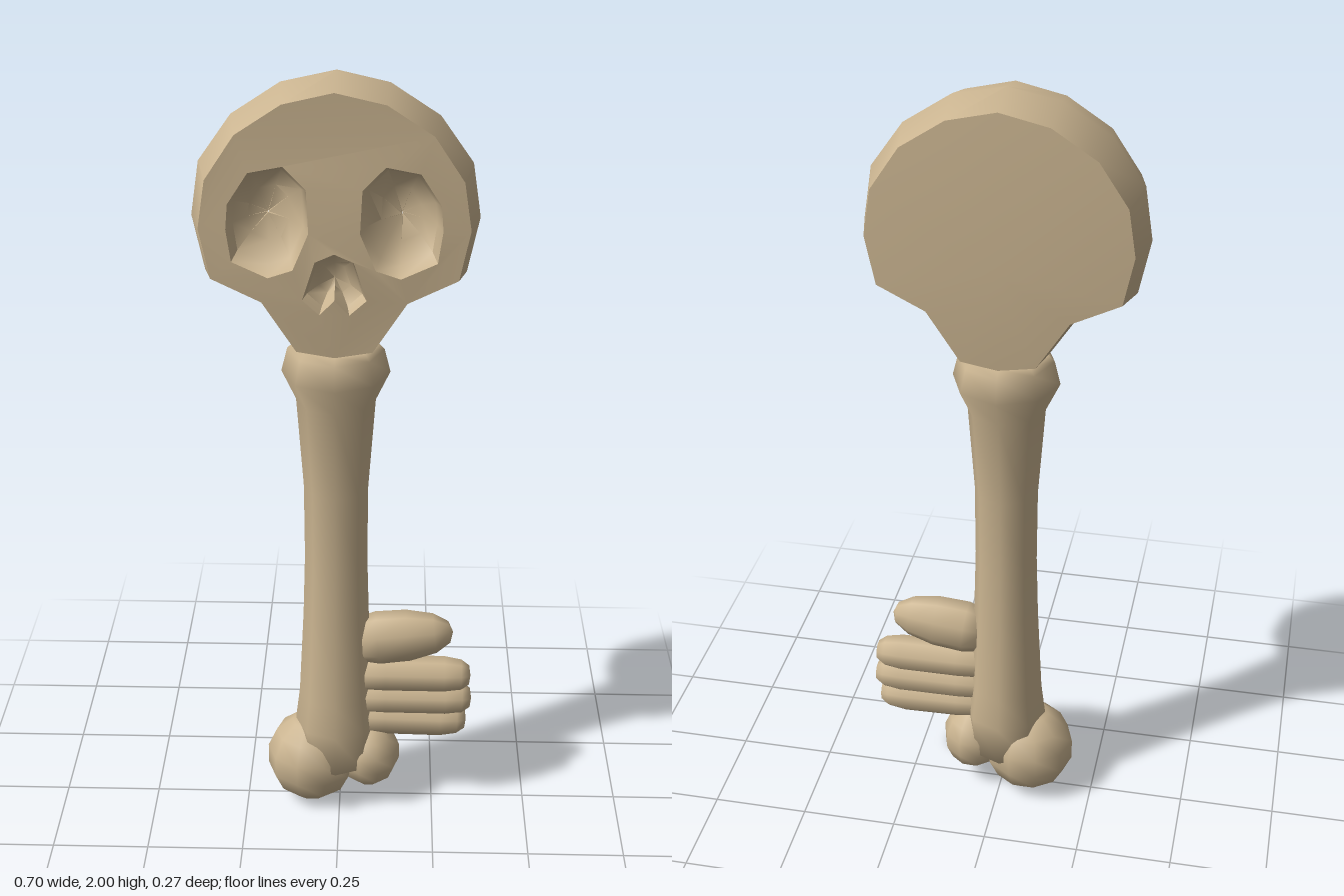
import * as THREE from 'three';
import { toCreasedNormals } from 'three/addons/utils/BufferGeometryUtils.js';

const bone = new THREE.MeshStandardMaterial({ color: 0xcbb591 });
bone.name = 'bone tan';

function part(name, geometry, parent) {
  const mesh = new THREE.Mesh(geometry, bone);
  mesh.name = name;
  parent.add(mesh);
  return mesh;
}

// Skin between closed loops of [x, y, z] points
function loft(loops, crease) {
  const n = loops[0].length, index = [];
  for (let i = 0; i < loops.length - 1; i++) {
    for (let j = 0; j < n; j++) {
      const k = (j + 1) % n, a = i * n + j, b = i * n + k;
      index.push(a, b, b + n, a, b + n, a + n);
    }
  }
  const g = new THREE.BufferGeometry();
  g.setAttribute('position', new THREE.Float32BufferAttribute(loops.flat(2), 3));
  g.setIndex(index);
  return toCreasedNormals(g, crease);
}

// Right half of an outline (bottom to top, both ends on the axis) to a full counter-clockwise loop
const mirrorLoop = half => [...half, ...half.slice(1, -1).reverse().map(([x, y]) => [-x, y])];
const vectors = pts => pts.map(([x, y]) => new THREE.Vector2(x, y));

// Slight bulge of the flat skull faces
const faceZ = (x, y) => 0.104 + 0.022 * Math.max(0, 1 - Math.hypot(x, y - 1.6) / 0.32);

function makeSkull() {
  const skull = new THREE.Group();
  skull.name = 'skull';
  skull.position.x = -0.01;

  const outer = mirrorLoop([[0, 1.335], [0.105, 1.345], [0.185, 1.468], [0.31, 1.525],
    [0.338, 1.66], [0.318, 1.79], [0.24, 1.9], [0.125, 1.975], [0, 2]]);
  const inner = mirrorLoop([[0, 1.345], [0.09, 1.36], [0.17, 1.485], [0.288, 1.54],
    [0.313, 1.66], [0.295, 1.775], [0.225, 1.88], [0.118, 1.95], [0, 1.977]]);
  const eye = [[0.244, 1.72], [0.196, 1.794], [0.117, 1.81], [0.064, 1.757], [0.059, 1.656],
    [0.096, 1.567], [0.154, 1.546], [0.238, 1.583], [0.249, 1.66]];
  const otherEye = eye.map(([x, y]) => [-x, y]).reverse();
  const nose = mirrorLoop([[0, 1.493], [0.035, 1.456], [0.075, 1.493], [0.045, 1.588], [0, 1.609]]);

  // Rim
  const at = (pts, side) => pts.map(([x, y]) => [x, y, side * faceZ(x, y)]);
  const middle = outer.map(([x, y]) => [x, y, 0]);
  part('skullRim', loft([at(inner, -1), middle, at(inner, 1)], 0.62), skull);

  // Back
  const tip = inner.map(() => [0, 1.6, -0.126]);
  part('skullBack', loft([tip, at(inner, -1)], 0.6), skull);

  // Face with openings
  const shape = new THREE.Shape(vectors(inner));
  for (const hole of [eye, otherEye, nose]) shape.holes.push(new THREE.Path(vectors(hole)));
  const face = new THREE.ShapeGeometry(shape);
  const p = face.attributes.position;
  for (let i = 0; i < p.count; i++) p.setZ(i, faceZ(p.getX(i), p.getY(i)));
  face.computeVertexNormals();
  part('skullFace', face, skull);

  // Hollow sockets: shrinking loops going inward
  const socket = (name, pts, cx, cy, depth) => {
    const loops = [[1, 0], [0.86, 0.55], [0.5, 0.92], [0.01, 1]].map(([s, d]) =>
      pts.map(([x, y]) => [cx + (x - cx) * s, cy + (y - cy) * s, faceZ(x, y) - d * depth]));
    part(name, loft(loops, 0.95), skull);
  };
  socket('leftEyeSocket', eye, 0.155, 1.68, 0.08);
  socket('rightEyeSocket', otherEye, -0.155, 1.68, 0.08);
  socket('noseSocket', nose, 0, 1.53, 0.06);
  return skull;
}

// Finger-like tooth lying along +x, from a profile of [radius, x]
function finger(name, profile, y, depth, tilt, parent) {
  const g = new THREE.LatheGeometry(vectors(profile), 8, Math.PI / 8);
  g.rotateZ(-Math.PI / 2);
  g.scale(1, 1, depth);
  const mesh = part(name, g, parent);
  mesh.position.y = y;
  mesh.rotation.z = tilt;
}

function knob(name, x, y, rx, ry, rz, parent) {
  const mesh = part(name, new THREE.SphereGeometry(1, 10, 7), parent);
  mesh.position.set(x, y, 0);
  mesh.scale.set(rx, ry, rz);
}

export function createModel() {
  const key = new THREE.Group();
  key.name = 'boneKey';
  key.add(makeSkull());

  // Shaft with collar under the skull
  const shaft = part('shaft', new THREE.LatheGeometry(vectors([
    [0, 0.1], [0.1, 0.13], [0.108, 0.25], [0.097, 0.34], [0.085, 0.58], [0.08, 0.75], [0.081, 0.95],
    [0.098, 1.19], [0.133, 1.265], [0.118, 1.325], [0.1, 1.342], [0, 1.345]]), 8), key);
  shaft.position.x = -0.01;

  // Knuckle at the foot
  knob('rightKnuckle', -0.075, 0.128, 0.122, 0.128, 0.115, key);
  knob('leftKnuckle', 0.078, 0.143, 0.084, 0.098, 0.088, key);

  // Teeth of the key
  const teeth = new THREE.Group();
  teeth.name = 'keyTeeth';
  key.add(teeth);
  finger('upperTooth', [[0, 0.03], [0.06, 0.045], [0.073, 0.1], [0.071, 0.18],
    [0.055, 0.25], [0.03, 0.288], [0, 0.298]], 0.492, 0.8, 0.11, teeth);
  [[0.394, 0.346, -0.01], [0.323, 0.35, -0.01], [0.262, 0.338, -0.03]].forEach(([y, len, tilt], i) =>
    finger('lowerTooth' + (i + 1), [[0, 0], [0.045, 0.02], [0.05, 0.12], [0.049, len - 0.07],
      [0.041, len - 0.025], [0.026, len - 0.004], [0, len]], y, 1, tilt, teeth));

  return key;
}
